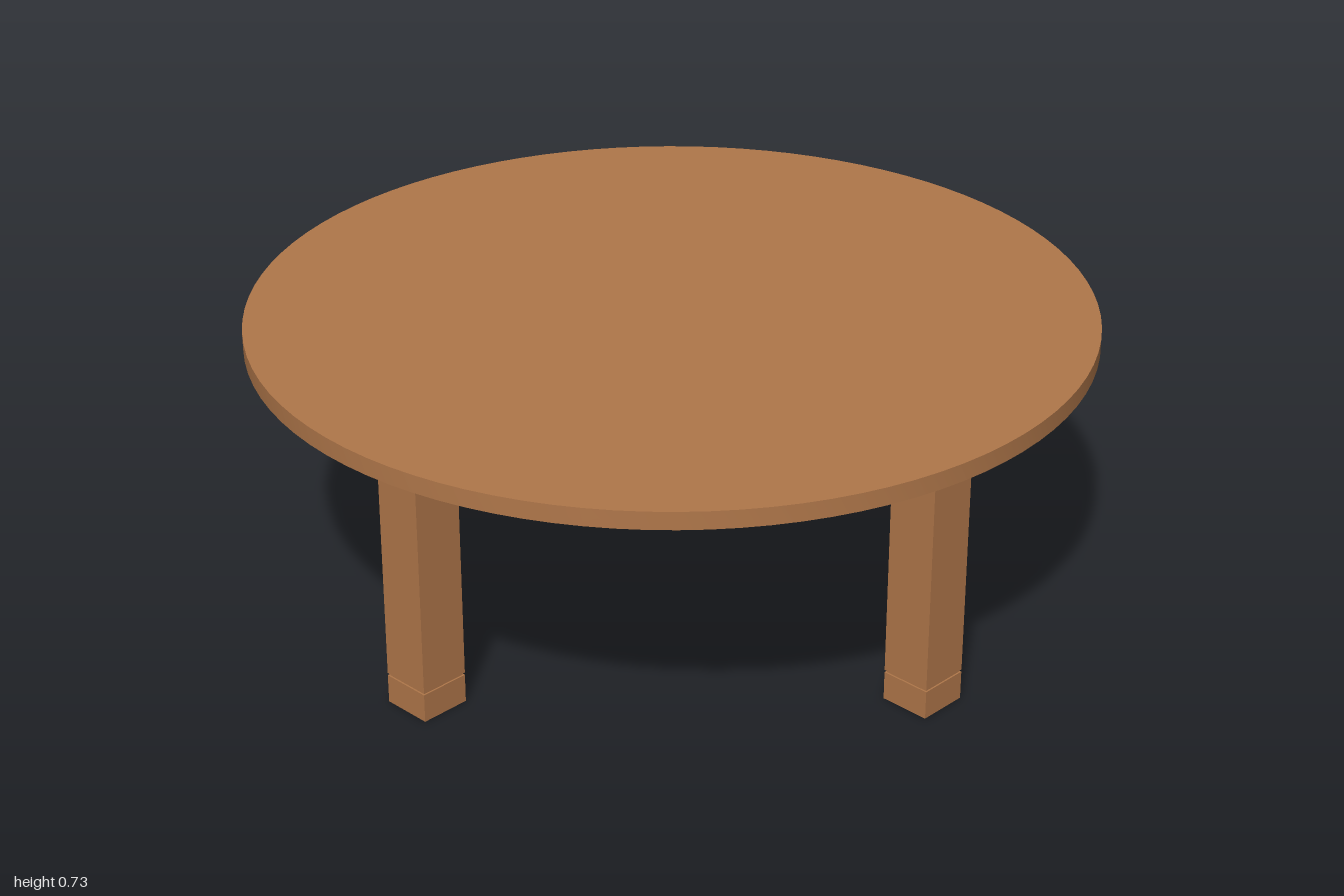
import * as THREE from 'three';
import { toCreasedNormals } from 'three/addons/utils/BufferGeometryUtils.js';

export function createModel() {
  const model = new THREE.Group();
  model.name = 'roundHeatedTable';
  const wood = new THREE.MeshStandardMaterial({ color: 0xb0774a });
  wood.name = 'wood';
  const black = new THREE.MeshStandardMaterial({ color: 0x121212 });
  black.name = 'black metal';
  const element = new THREE.MeshStandardMaterial({ color: 0x7d5f58 });
  element.name = 'heating element';
  const steel = new THREE.MeshStandardMaterial({ color: 0x77706e });
  steel.name = 'steel';

  const add = (parent, name, geometry, material) => {
    const mesh = new THREE.Mesh(geometry, material);
    mesh.name = name;
    parent.add(mesh);
    return mesh;
  };
  // box given by its x, y and z ranges
  const box = (parent, name, material, [x0, x1], [y0, y1], [z0, z1]) => {
    const mesh = add(parent, name, new THREE.BoxGeometry(x1 - x0, y1 - y0, z1 - z0), material);
    mesh.position.set((x0 + x1) / 2, (y0 + y1) / 2, (z0 + z1) / 2);
    return mesh;
  };

  // round top with the stepped, bevelled disc below it
  const lathe = (points) => toCreasedNormals(
    new THREE.LatheGeometry(points.map(([r, y]) => new THREE.Vector2(r, y)), 96), 0.3);
  add(model, 'tableTop', lathe([[0, 0.685], [1, 0.685], [1, 0.728], [0, 0.728]]), wood);
  add(model, 'underDisc', lathe([
    [0, 0.648], [0.925, 0.648], [0.943, 0.662], [0.943, 0.685], [0, 0.685],
  ]), wood);

  // four legs, each with a mounting plate and a foot
  for (let i = 0; i < 4; i++) {
    const leg = new THREE.Group();
    leg.name = 'leg' + (i + 1);
    leg.rotation.y = i * Math.PI / 2;
    box(leg, 'mountingPlate', black, [-0.14, 0.14], [0.64, 0.648], [0.71, 0.89]);
    box(leg, 'legPost', wood, [-0.062, 0.062], [0.076, 0.641], [0.738, 0.862]);
    box(leg, 'legGroove', wood, [-0.058, 0.058], [0.068, 0.078], [0.742, 0.858]);
    box(leg, 'foot', wood, [-0.062, 0.062], [0, 0.07], [0.738, 0.862]);
    model.add(leg);
  }

  // apron frame under the top, with a cable notch in its front wall
  const apron = new THREE.Group();
  apron.name = 'apronFrame';
  model.add(apron);
  const wallY = [0.577, 0.65];
  for (const s of [-1, 1]) {
    const x = s < 0 ? [-0.302, -0.27] : [0.27, 0.302];
    box(apron, 'sideWall', wood, x, wallY, [-0.555, 0.555]);
  }
  box(apron, 'backWall', wood, [-0.27, 0.27], wallY, [-0.555, -0.52]);
  box(apron, 'frontWallLeft', wood, [0.075, 0.27], wallY, [0.52, 0.555]);
  box(apron, 'frontWallRight', wood, [-0.27, -0.075], wallY, [0.52, 0.555]);
  box(apron, 'frontWallBridge', wood, [-0.075, 0.075], [0.615, 0.65], [0.52, 0.555]);
  box(apron, 'bottomBoard', wood, [-0.27, 0.27], [0.58, 0.592], [-0.52, 0.265]);

  // heater body, rim, glowing arcs and wire grille
  const heater = new THREE.Group();
  heater.name = 'heater';
  model.add(heater);
  box(heater, 'heaterBody', black, [-0.25, 0.25], [0.579, 0.64], [-0.25, 0.25]);
  for (const s of [-1, 1]) {
    const a = s < 0 ? [-0.262, -0.24] : [0.24, 0.262];
    box(heater, 'rimSide', black, a, [0.571, 0.582], [-0.262, 0.262]);
    box(heater, 'rimEnd', black, [-0.24, 0.24], [0.571, 0.582], a);
  }
  for (let i = 0; i < 4; i++) {
    const ring = new THREE.RingGeometry(0.105, 0.165, 20, 1, i * Math.PI / 2 + 0.2, Math.PI / 2 - 0.4);
    ring.rotateX(Math.PI / 2);
    add(heater, 'heatingArc', ring, element).position.y = 0.578;
  }
  for (let i = -10; i <= 10; i++) {
    const c = i * 0.0225;
    const w = [c - 0.006, c + 0.006];
    box(heater, 'grilleWire', black, w, [0.572, 0.575], [-0.24, 0.24]);
    box(heater, 'crossWire', black, [-0.24, 0.24], [0.573, 0.576], w);
  }

  // power connector and hanging cord
  box(model, 'connector', black, [-0.15, -0.06], [0.577, 0.61], [0.262, 0.35]);
  const cordPath = new THREE.CatmullRomCurve3([
    [-0.14, 0.59], [-0.19, 0.582], [-0.225, 0.572], [-0.25, 0.553], [-0.264, 0.532],
  ].map(([x, y]) => new THREE.Vector3(x, y, 0.333)));
  add(model, 'cord', new THREE.TubeGeometry(cordPath, 24, 0.005, 8), black);

  // small cup hook beside the front leg
  const hookPath = new THREE.CatmullRomCurve3([
    [0.65, 0.695], [0.638, 0.699], [0.628, 0.692], [0.618, 0.683], [0.611, 0.688], [0.617, 0.697],
  ].map(([y, z]) => new THREE.Vector3(0, y, z)));
  add(model, 'cableHook', new THREE.TubeGeometry(hookPath, 24, 0.0025, 6), steel);

  return model;
}
